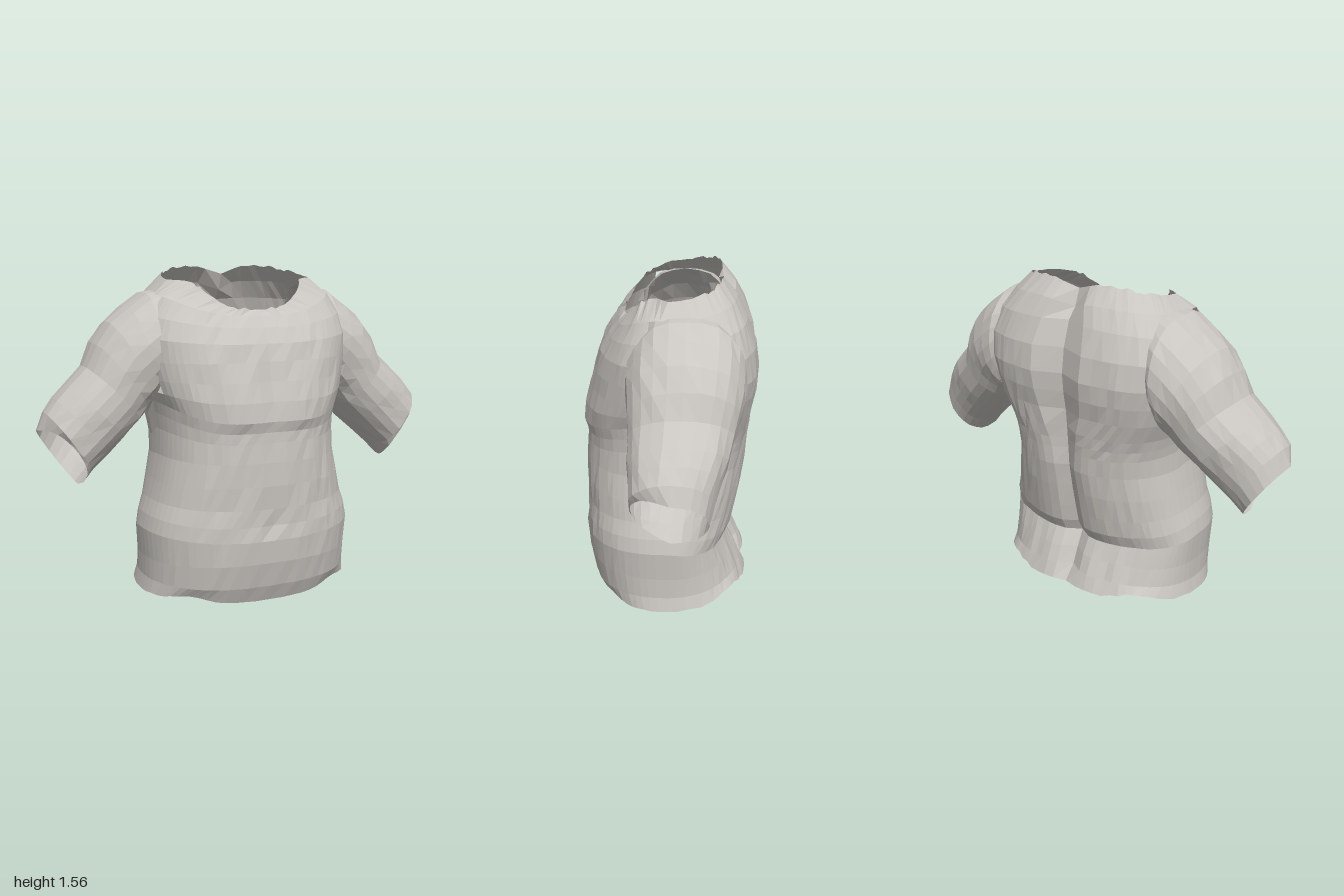
import * as THREE from 'three';

// Small repeatable wobble for the facets, from -1 to 1
function wobble(a, b) {
  const s = Math.sin(a * 127.1 + b * 311.7) * 43758.5453;
  return (s - Math.floor(s)) * 2 - 1;
}
const bump = (v, centre, width) => Math.exp(-(((v - centre) / width) ** 2));
const signedPow = (v, e) => Math.sign(v) * Math.abs(v) ** e;

// Joins closed rings of points into an open-ended skin, leaving out skipped cells
function loft(rings, flip, skip = () => false) {
  const n = rings[0].length;
  const positions = [], index = [];
  for (const ring of rings) for (const p of ring) positions.push(p.x, p.y, p.z);
  for (let i = 0; i < rings.length - 1; i++) {
    for (let j = 0; j < n; j++) {
      if (skip(i, j)) continue;
      const k = (j + 1) % n;
      const a = i * n + j, b = i * n + k, c = a + n, d = b + n;
      if (flip) index.push(a, c, b, b, c, d);
      else index.push(a, b, c, b, d, c);
    }
  }
  const geometry = new THREE.BufferGeometry();
  geometry.setAttribute('position', new THREE.Float32BufferAttribute(positions, 3));
  geometry.setIndex(index);
  geometry.computeVertexNormals();
  return geometry;
}

// Torso sections: y at front, side, back, half width, front z, back z
const TORSO = [
  [0.00, 0.03, 0.06, 0.535, 0.34, -0.385],
  [0.08, 0.10, 0.13, 0.52, 0.375, -0.355],
  [0.20, 0.20, 0.21, 0.52, 0.40, -0.32],
  [0.31, 0.34, 0.29, 0.53, 0.41, -0.28],
  [0.38, 0.41, 0.35, 0.515, 0.408, -0.31],
  [0.46, 0.48, 0.44, 0.49, 0.405, -0.33],
  [0.57, 0.57, 0.56, 0.467, 0.40, -0.355],
  [0.68, 0.68, 0.68, 0.442, 0.398, -0.375],
  [0.77, 0.77, 0.77, 0.437, 0.396, -0.38],
  [0.82, 0.82, 0.82, 0.442, 0.396, -0.383],
  [0.87, 0.87, 0.88, 0.45, 0.41, -0.387],
  [0.96, 0.96, 0.97, 0.48, 0.40, -0.395],
  [1.05, 1.05, 1.06, 0.50, 0.375, -0.41],
  [1.14, 1.14, 1.15, 0.52, 0.35, -0.417],
  [1.22, 1.25, 1.27, 0.53, 0.322, -0.40],
  [1.29, 1.35, 1.39, 0.50, 0.28, -0.36],
  [1.34, 1.44, 1.48, 0.44, 0.24, -0.315],
  [1.37, 1.505, 1.56, 0.37, 0.21, -0.25],
];

function torsoGeometry() {
  const n = 72, last = TORSO.length - 1;
  const rings = TORSO.map(([yF, yS, yB, w, zF, zB], i) => {
    const rim = i === 0 || i === last;
    // The upper back is broader and squarer than the waist and collar
    const backPower = 0.82 - 0.28 * THREE.MathUtils.smoothstep(yB, 0.65, 1.05)
      + 0.1 * THREE.MathUtils.smoothstep(yB, 1.3, 1.5);
    return Array.from({ length: n }, (_, j) => {
      const a = (j / n) * Math.PI * 2;
      const s = Math.sin(a), c = Math.cos(a);
      const front = s > 0;
      const power = front ? 0.82 : backPower;
      let x = w * signedPow(c, power);
      let y = yS + ((front ? yF : yB) - yS) * (front ? s * s : Math.abs(s));
      let z = (front ? zF : -zB) * signedPow(s, power);
      if (front) {
        // Cleft between the chest muscles and the navel
        z -= 0.02 * bump(x, 0, 0.05) * bump(y, 1.02, 0.22);
        z -= 0.02 * bump(x, 0, 0.05) * bump(y, 0.4, 0.06);
        // Gentle belly folds and the rising lower edge of the chest
        z += 0.004 * Math.sin(y * 48) * bump(y, 0.55, 0.2);
        y += 1.2 * Math.max(0, Math.abs(x) - 0.2) ** 2 * bump(y, 0.85, 0.12);
        // The collar narrows to a scoop in front of the shoulders
        if (i === last) x *= 1 - 0.22 * Math.min(1, s * 5);
      } else {
        // Spine groove and notch in the back of the collar
        z += 0.055 * bump(x, 0, 0.055) * (rim ? 0.4 : 1);
        if (y > 1.4) y -= 0.04 * bump(x, 0, 0.07);
      }
      // The hem rises beside the front of the hips
      if (i === 0) y += 0.035 * bump(Math.abs(x), 0.38, 0.1);
      const m = Math.abs(j <= n / 2 ? j - n / 4 : j - n * 0.75);
      const r = wobble(m + (front ? 0 : 50), i);
      z += m ? 0.005 * r * Math.abs(s) : 0;
      y += m && rim ? (i === 0 ? 0.004 : 0.012 * Math.abs(s)) * r : 0;
      return new THREE.Vector3(x, y, z);
    });
  });
  // Open armholes beneath the sleeves
  const armhole = (i, j) => i >= 11 && i <= 15
    && Math.abs(Math.sin(((j + 0.5) / n) * Math.PI * 2)) < (i === 15 ? 0.3 : 0.38);
  return loft(rings, true, armhole);
}

// Sleeve sections: outer x, y, inner x, y, front z, back z
const SLEEVE = [
  [0.36, 1.468, 0.44, 0.99, 0.15, -0.30],
  [0.47, 1.447, 0.455, 0.94, 0.18, -0.345],
  [0.56, 1.39, 0.46, 0.92, 0.183, -0.345],
  [0.65, 1.315, 0.465, 0.91, 0.178, -0.335],
  [0.72, 1.22, 0.48, 0.89, 0.172, -0.318],
  [0.77, 1.115, 0.52, 0.85, 0.168, -0.295],
  [0.86, 1.03, 0.60, 0.775, 0.165, -0.267],
  [0.915, 0.975, 0.68, 0.70, 0.16, -0.235],
  [0.965, 0.915, 0.76, 0.63, 0.155, -0.205],
  [0.999, 0.835, 0.82, 0.57, 0.145, -0.185],
];

function sleeveGeometry(side) {
  const n = 24;
  const rings = SLEEVE.map(([ox, oy, ix, iy, zF, zB], i) =>
    Array.from({ length: n }, (_, j) => {
      const a = (j / n) * Math.PI * 2;
      const u = signedPow(Math.cos(a), 0.92) / 2;
      const v = signedPow(Math.sin(a), 0.92) / 2;
      const r = 1 + 0.02 * wobble(j + 9, i + 31);
      // The cuff is cut back along its front edge
      const cut = i === SLEEVE.length - 1 ? 0.11 * Math.max(0, v) : 0;
      const x = (ox + ix) / 2 + (ox - ix) * u * r - cut;
      const y = (oy + iy) / 2 + (oy - iy) * u * r + cut * 0.8;
      const z = (zF + zB) / 2 + (zF - zB) * v * r;
      return new THREE.Vector3(side * Math.min(x, 1), y, z);
    }));
  return loft(rings, side < 0);
}

export function createModel() {
  const cloth = new THREE.MeshStandardMaterial({
    color: 0xc9c5c0, flatShading: true, side: THREE.DoubleSide,
  });
  cloth.name = 'pale grey cloth';
  const group = new THREE.Group();
  group.name = 'shirt';
  const add = (name, geometry) => {
    const mesh = new THREE.Mesh(geometry, cloth);
    mesh.name = name;
    group.add(mesh);
  };
  add('torso', torsoGeometry());
  add('leftSleeve', sleeveGeometry(1));
  add('rightSleeve', sleeveGeometry(-1));
  return group;
}
